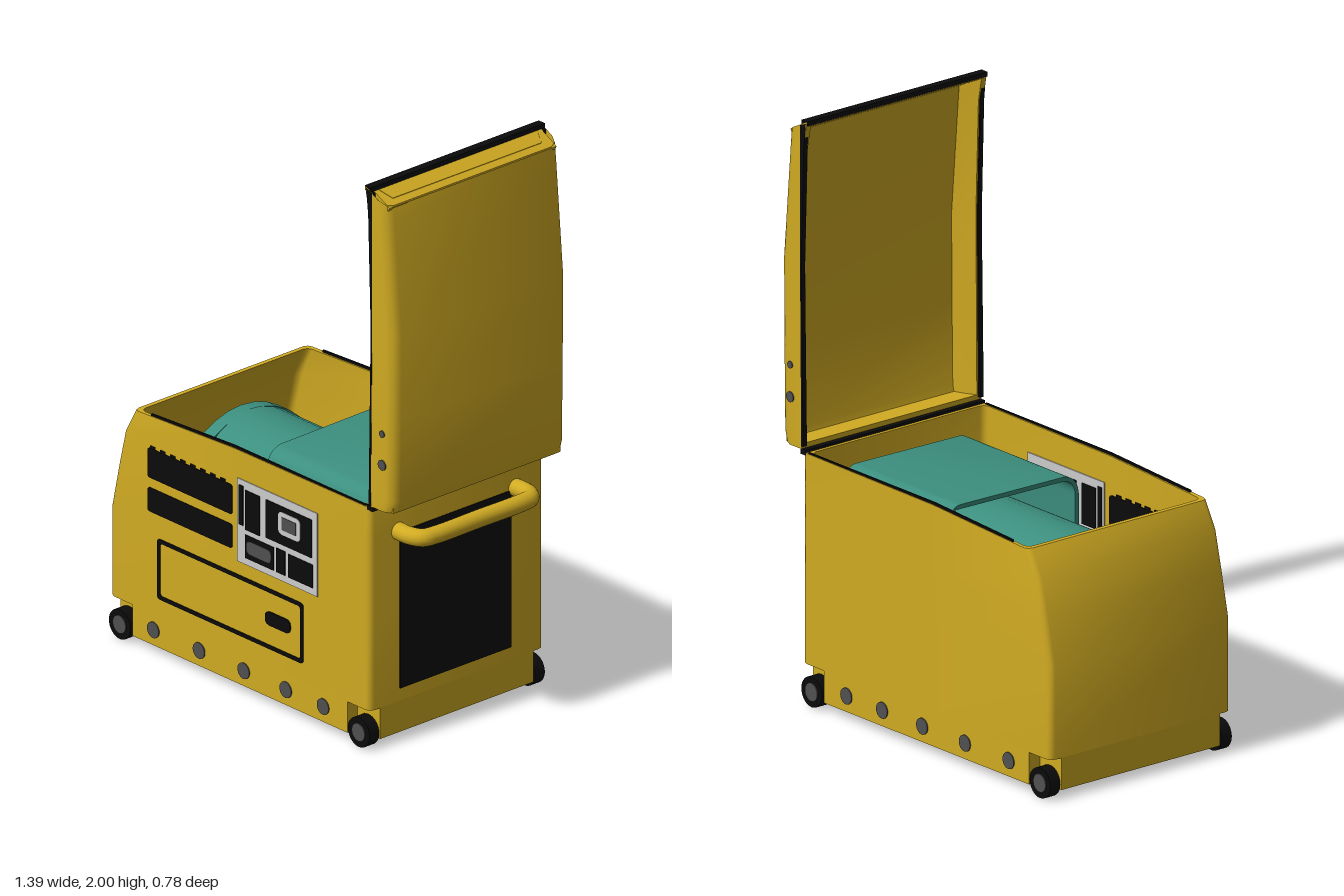
import * as THREE from 'three';
import { toCreasedNormals } from 'three/addons/utils/BufferGeometryUtils.js';

const paint = (name, color, side = THREE.FrontSide) => {
  const m = new THREE.MeshStandardMaterial({ color, side });
  m.name = name;
  return m;
};

export function createModel() {
  const model = new THREE.Group();
  const yellow = paint('yellow', 0xd1ab22, THREE.DoubleSide);
  const teal = paint('teal', 0x3c8f7f, THREE.DoubleSide);
  const black = paint('black', 0x0b0b0b);
  const grey = paint('grey', 0x505050);
  const white = paint('white', 0xcccccc);

  const add = (name, geometry, material, x = 0, y = 0, z = 0) => {
    const mesh = new THREE.Mesh(geometry, material);
    mesh.name = name;
    mesh.position.set(x, y, z);
    model.add(mesh);
    return mesh;
  };
  // box given by its lower and upper limits on each axis
  const box = (name, mat, x0, x1, y0, y1, z0, z1) =>
    add(name, new THREE.BoxGeometry(x1 - x0, y1 - y0, z1 - z0), mat,
      (x0 + x1) / 2, (y0 + y1) / 2, (z0 + z1) / 2);
  const disc = (name, mat, r, depth, x, y, z, axis = 'z') => {
    const g = new THREE.CylinderGeometry(r, r, depth, 32);
    if (axis === 'z') g.rotateX(Math.PI / 2); else g.rotateZ(Math.PI / 2);
    return add(name, g, mat, x, y, z);
  };
  // rounded rectangle path
  const rounded = (path, x0, x1, y0, y1, r) => {
    path.moveTo(x0 + r, y0);
    path.lineTo(x1 - r, y0).quadraticCurveTo(x1, y0, x1, y0 + r);
    path.lineTo(x1, y1 - r).quadraticCurveTo(x1, y1, x1 - r, y1);
    path.lineTo(x0 + r, y1).quadraticCurveTo(x0, y1, x0, y1 - r);
    path.lineTo(x0, y0 + r).quadraticCurveTo(x0, y0, x0 + r, y0);
    return path;
  };
  const extrude = (shape, depth) =>
    new THREE.ExtrudeGeometry(shape, { depth, bevelEnabled: false, curveSegments: 6 });
  // skin over closed rings of [x, y, z], with optional fan caps
  const loft = (rings, capped) => {
    const n = rings[0].length, pos = rings.flat(2), index = [];
    for (let i = 0; i < rings.length - 1; i++) {
      for (let j = 0; j < n; j++) {
        const a = i * n + j, b = i * n + (j + 1) % n;
        index.push(a, b, b + n, a, b + n, a + n);
      }
    }
    if (capped) {
      [0, rings.length - 1].forEach((row, end) => {
        const c = pos.length / 3;
        pos.push(0, rings[row][0][1], 0);
        for (let j = 0; j < n; j++) {
          const a = row * n + j, b = row * n + (j + 1) % n;
          if (end) index.push(a, b, c); else index.push(b, a, c);
        }
      });
    }
    const g = new THREE.BufferGeometry();
    g.setAttribute('position', new THREE.Float32BufferAttribute(pos, 3));
    g.setIndex(index);
    return toCreasedNormals(g, 0.9);
  };

  // body tub: outer skin upwards, rim, inner skin down to the floor
  const tubRing = (y, left, inset = 0, notch = false, top = false) => {
    const X = 0.555 - inset * 1.8, Z = 0.38 - inset, r = 0.02;
    const corner = (sx, sz) => {
      const e = sx > 0 ? X : left;
      const c = notch
        ? [[e, Z - 0.045], [e - sx * 0.108, Z - 0.045], [e - sx * 0.108, Z]]
        : [[e, Z - r], [e - sx * 0.3 * r, Z - 0.3 * r], [e - sx * r, Z]];
      return c.map(([x, z]) => [x, z * sz]);
    };
    const plan = [
      ...corner(1, -1), [-0.1, -Z], ...corner(-1, -1).reverse(),
      ...corner(-1, 1), [-0.1, Z], ...corner(1, 1).reverse(),
    ];
    const topY = (x) => (x < -0.2 ? 0.835 : x < 0 ? 0.858 : 0.862);
    return plan.map(([x, z]) => [x, top ? topY(x) : y, z]);
  };
  add('body', loft([
    tubRing(0.03, -0.695, 0, true), tubRing(0.14, -0.695, 0, true),
    tubRing(0.14, -0.695), tubRing(0.46, -0.695), tubRing(0.62, -0.66),
    tubRing(0.745, -0.63), tubRing(0, -0.58, 0, false, true),
    tubRing(0, -0.563, 0.015, false, true), tubRing(0.73, -0.61, 0.015),
    tubRing(0.46, -0.675, 0.015), tubRing(0.145, -0.675, 0.015),
  ], true), yellow);

  // open lid: channel section swept upwards, closed at both ends
  const lidRing = ([y, xi, xo, slope = 0]) => {
    const Z = 0.38, r = 0.035;
    const half = [[xi, Z], [xo - r, Z], [xo - 0.3 * r, Z - 0.3 * r], [xo, Z - r]];
    const inner = [[xi, Z - 0.02], [xo - 0.025, Z - 0.055]];
    const flip = (list) => list.map(([x, z]) => [x, -z]);
    return [...half, ...flip(half).reverse(), ...flip(inner), ...inner.reverse()]
      .map(([x, z]) => [x, y + (xo - x) * slope, z]);
  };
  add('lid', loft([
    [0.87, 0.56, 0.653], [0.91, 0.56, 0.664], [1.2, 0.562, 0.668],
    [1.5, 0.565, 0.67], [1.9, 0.552, 0.636], [1.95, 0.532, 0.63, 0.5],
  ].map(lidRing)), yellow);
  box('lidLowerEnd', yellow, 0.56, 0.652, 0.87, 0.888, -0.365, 0.365);
  add('lidUpperEnd', new THREE.BoxGeometry(0.105, 0.014, 0.73), yellow, 0.583, 1.964, 0)
    .rotation.z = -0.46;

  // seals and hinge
  const lidSeal = new THREE.Shape([[0.55, 0.88], [0.56, 0.88], [0.566, 1.5], [0.566, 1.98],
    [0.538, 1.992], [0.548, 1.9], [0.56, 1.5]].map((p) => new THREE.Vector2(...p)));
  const rimSeal = new THREE.Shape([[-0.5, 0.838], [-0.1, 0.855], [0.53, 0.859], [0.53, 0.866],
    [-0.1, 0.866], [-0.5, 0.845]].map((p) => new THREE.Vector2(...p)));
  for (const s of [-1, 1]) {
    add('lidSeal', extrude(lidSeal, 0.016), black, 0, 0, s * 0.373 - 0.008);
    add('rimSeal', extrude(rimSeal, 0.007), black, 0, 0, s * 0.374 - 0.0035);
  }
  box('lidTopSeal', black, 0.531, 0.56, 1.984, 2, -0.38, 0.38);
  box('hinge', black, 0.54, 0.567, 0.852, 0.871, -0.378, 0.378);

  // wheels, studs and lid bolts on both sides
  for (const s of [-1, 1]) {
    for (const x of [-0.645, 0.505]) {
      disc('wheel', black, 0.052, 0.042, x, 0.052, s * 0.362);
      disc('wheelHub', grey, 0.031, 0.006, x, 0.052, s * 0.383);
    }
    for (const x of [-0.485, -0.265, -0.05, 0.152, 0.332]) {
      disc('stud', grey, 0.028, 0.008, x, 0.085, s * 0.38);
    }
    disc('lidBolt', grey, 0.018, 0.008, 0.615, 1.035, s * 0.38);
    disc('lidBolt', grey, 0.012, 0.008, 0.615, 1.145, s * 0.38);
  }

  // end grille and carrying handle
  box('endGrille', black, 0.552, 0.559, 0.185, 0.74, -0.235, 0.25);
  const bar = new THREE.CatmullRomCurve3([[0.54, 0.255], [0.61, 0.255], [0.65, 0.235],
    [0.66, 0.19], [0.66, 0], [0.66, -0.19], [0.65, -0.235], [0.61, -0.255], [0.54, -0.255],
  ].map(([x, z]) => new THREE.Vector3(x, 0.745, z)));
  add('handle', new THREE.TubeGeometry(bar, 60, 0.03, 16), yellow);

  // front vents, passing through the wall
  for (const [y0, y1] of [[0.5, 0.585], [0.62, 0.725]]) {
    add('vent', extrude(rounded(new THREE.Shape(), -0.512, -0.105, y0, y1, 0.012), 0.022),
      black, 0, 0, 0.361);
  }
  for (let i = 0; i < 8; i++) {
    box('ventTooth', black, -0.5 + i * 0.048, -0.475 + i * 0.048, 0.72, 0.734, 0.361, 0.382);
  }

  // control panel with sockets and switches
  box('controlPanel', white, -0.08, 0.305, 0.465, 0.76, 0.361, 0.383);
  const tiles = [[-0.07, -0.05, 0.6, 0.74], [-0.04, 0.03, 0.59, 0.73], [0.06, 0.28, 0.595, 0.73],
    [-0.04, 0.098, 0.49, 0.572], [0.11, 0.152, 0.49, 0.575], [0.168, 0.285, 0.49, 0.572]];
  for (const [x0, x1, y0, y1] of tiles) {
    box('panelTile', black, x0, x1, y0, y1, 0.382, 0.386);
    box('panelTileBack', black, x0, x1, y0, y1, 0.358, 0.362);
  }
  add('socketFrame', extrude(rounded(new THREE.Shape(), 0.122, 0.228, 0.632, 0.712, 0.02), 0.004),
    white, 0, 0, 0.384);
  box('socket', grey, 0.14, 0.208, 0.65, 0.695, 0.385, 0.39);
  add('switch', extrude(rounded(new THREE.Shape(), -0.03, 0.088, 0.51, 0.556, 0.02), 0.004),
    grey, 0, 0, 0.384);

  // service drawer outline, pull and the tray behind it
  const outline = rounded(new THREE.Shape(), -0.466, 0.236, 0.203, 0.417, 0.015);
  outline.holes.push(rounded(new THREE.Path(), -0.452, 0.222, 0.217, 0.403, 0.012));
  add('drawerOutline', extrude(outline, 0.004), black, 0, 0, 0.379);
  add('drawerPull', extrude(rounded(new THREE.Shape(), 0.055, 0.175, 0.288, 0.336, 0.022), 0.006),
    black, 0, 0, 0.379);
  box('drawerTray', yellow, -0.085, 0.315, 0.2, 0.44, 0.262, 0.368);

  // engine: flange, drum and a hood open at the drum end
  disc('engineFlange', teal, 0.295, 0.05, -0.48, 0.46, -0.02, 'x');
  disc('engineDrum', teal, 0.252, 0.86, -0.03, 0.505, -0.018, 'x');
  const hood = new THREE.Shape();
  hood.moveTo(-0.25, 0.4);
  hood.lineTo(-0.25, 0.75).quadraticCurveTo(-0.245, 0.81, -0.19, 0.82);
  hood.lineTo(0.25, 0.825).quadraticCurveTo(0.285, 0.825, 0.285, 0.79);
  hood.lineTo(0.285, 0.2).lineTo(0.27, 0.2).lineTo(0.27, 0.81);
  hood.lineTo(-0.185, 0.805).quadraticCurveTo(-0.23, 0.8, -0.235, 0.75);
  hood.lineTo(-0.235, 0.4);
  const hoodShell = toCreasedNormals(extrude(hood, 0.525), 0.6);
  hoodShell.rotateY(Math.PI / 2);
  add('engineHood', hoodShell, teal, -0.085, 0, 0);
  box('engineHoodEnd', teal, 0.42, 0.435, 0.2, 0.8, -0.275, 0.225);
  box('engineBase', yellow, -0.4, 0.4, 0.14, 0.3, -0.18, 0.14);

  return model;
}
